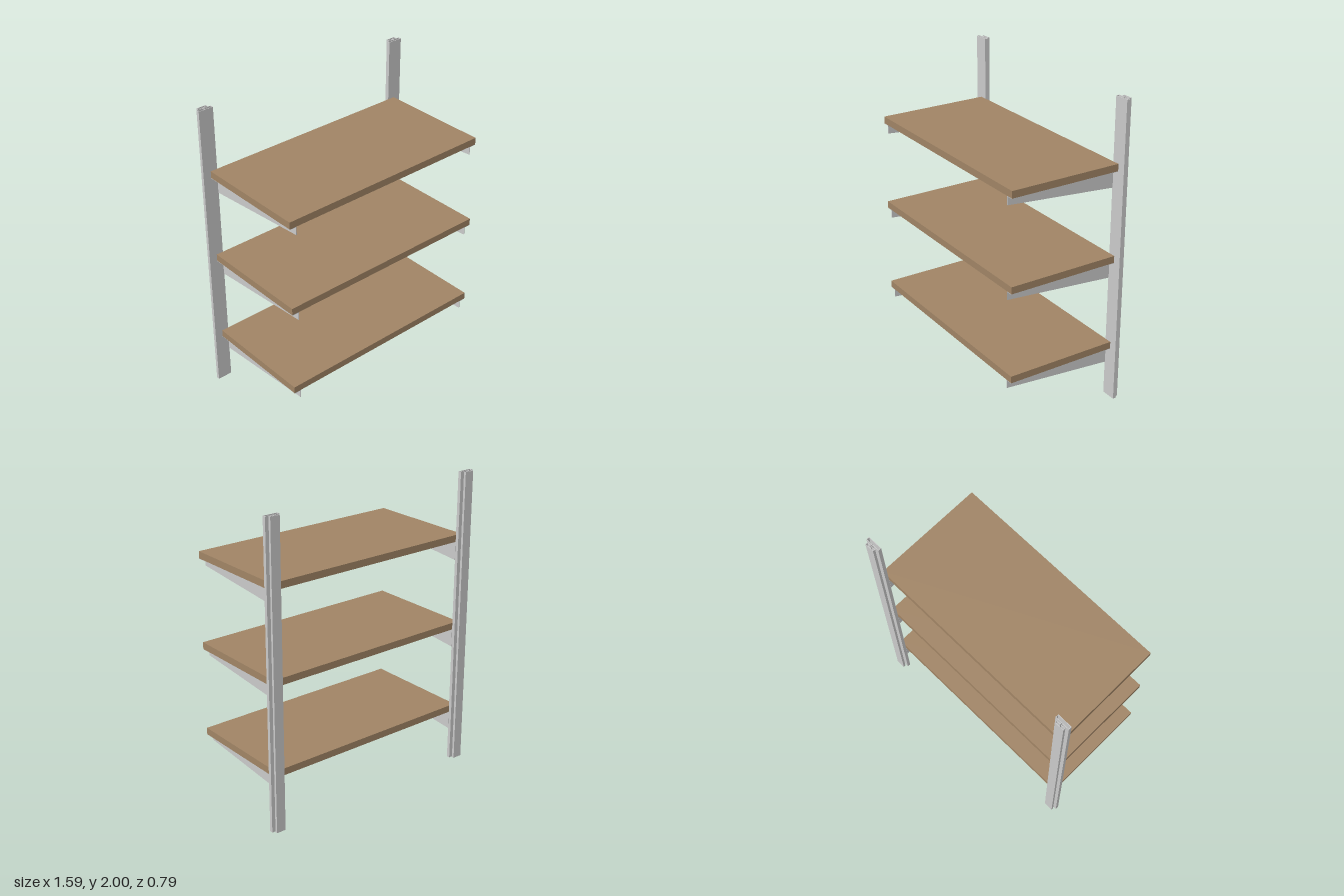
import * as THREE from 'three';

const metal = new THREE.MeshStandardMaterial({ color: 0xcacaca });
metal.name = 'grey metal';
const wood = new THREE.MeshStandardMaterial({ color: 0xa08465 });
wood.name = 'brown wood';

const BACK = -0.35, FRONT = 0.397;

function add(parent, name, geometry, material, x = 0, y = 0, z = 0) {
  const mesh = new THREE.Mesh(geometry, material);
  mesh.name = name;
  mesh.position.set(x, y, z);
  parent.add(mesh);
  return mesh;
}

// Rail cross-section: wide front box, narrow neck, smaller rear box; t insets it
function railOutline(t) {
  const half = [
    [0.05 - t, 0.351 + t], [0.05 - t, 0.373 - t],
    [0.006 - t, 0.373 - t], [0.006 - t, 0.381 + t],
    [0.032 - t, 0.381 + t], [0.032 - t, 0.397 - t],
  ];
  const mirrored = half.map(([x, y]) => [-x, y]).reverse();
  return [...half, ...mirrored].map(([x, y]) => new THREE.Vector2(x, y));
}

// Hollow rail standing upright
function railGeometry(height) {
  const shape = new THREE.Shape(railOutline(0));
  shape.holes.push(new THREE.Path(railOutline(0.003)));
  const geometry = new THREE.ExtrudeGeometry(shape, { depth: height, bevelEnabled: false });
  return geometry.rotateX(-Math.PI / 2);
}

// Tapered bracket web; y = 0 is the underside of the shelf
function webGeometry(thickness) {
  const shape = new THREE.Shape([
    new THREE.Vector2(-FRONT, 0), new THREE.Vector2(-FRONT, -0.056),
    new THREE.Vector2(-BACK, -0.12), new THREE.Vector2(-BACK, 0),
  ]);
  const geometry = new THREE.ExtrudeGeometry(shape, { depth: thickness, bevelEnabled: false });
  return geometry.translate(0, 0, -thickness / 2).rotateY(Math.PI / 2);
}

export function createModel() {
  const model = new THREE.Group();
  model.name = 'wallShelf';
  const depth = FRONT - BACK, middle = (FRONT + BACK) / 2;

  // Upright rails, set at slightly different heights
  add(model, 'rightRail', railGeometry(1.99), metal, -0.747, 0.01);
  add(model, 'leftRail', railGeometry(1.993), metal, 0.744, 0);

  const shelfGeometry = new THREE.BoxGeometry(1.488, 0.046, depth);
  const web = webGeometry(0.004);
  const flange = new THREE.BoxGeometry(0.047, 0.003, depth);

  for (let i = 0; i < 3; i++) {
    const under = 0.346 + i * 0.598;
    const tier = new THREE.Group();
    tier.name = 'shelfTier' + (i + 1);
    tier.position.y = under;
    model.add(tier);

    add(tier, 'shelfBoard', shelfGeometry, wood, -0.001, 0.023, middle);

    // Angle brackets with their flanges turned outwards
    for (const side of [-1, 1]) {
      const bracket = new THREE.Group();
      bracket.name = side > 0 ? 'leftBracket' : 'rightBracket';
      add(bracket, 'bracketWeb', web, metal, side * 0.697 - 0.001);
      add(bracket, 'bracketFlange', flange, metal, side * 0.72 - 0.001, -0.0015, middle);
      tier.add(bracket);
    }
  }
  return model;
}
